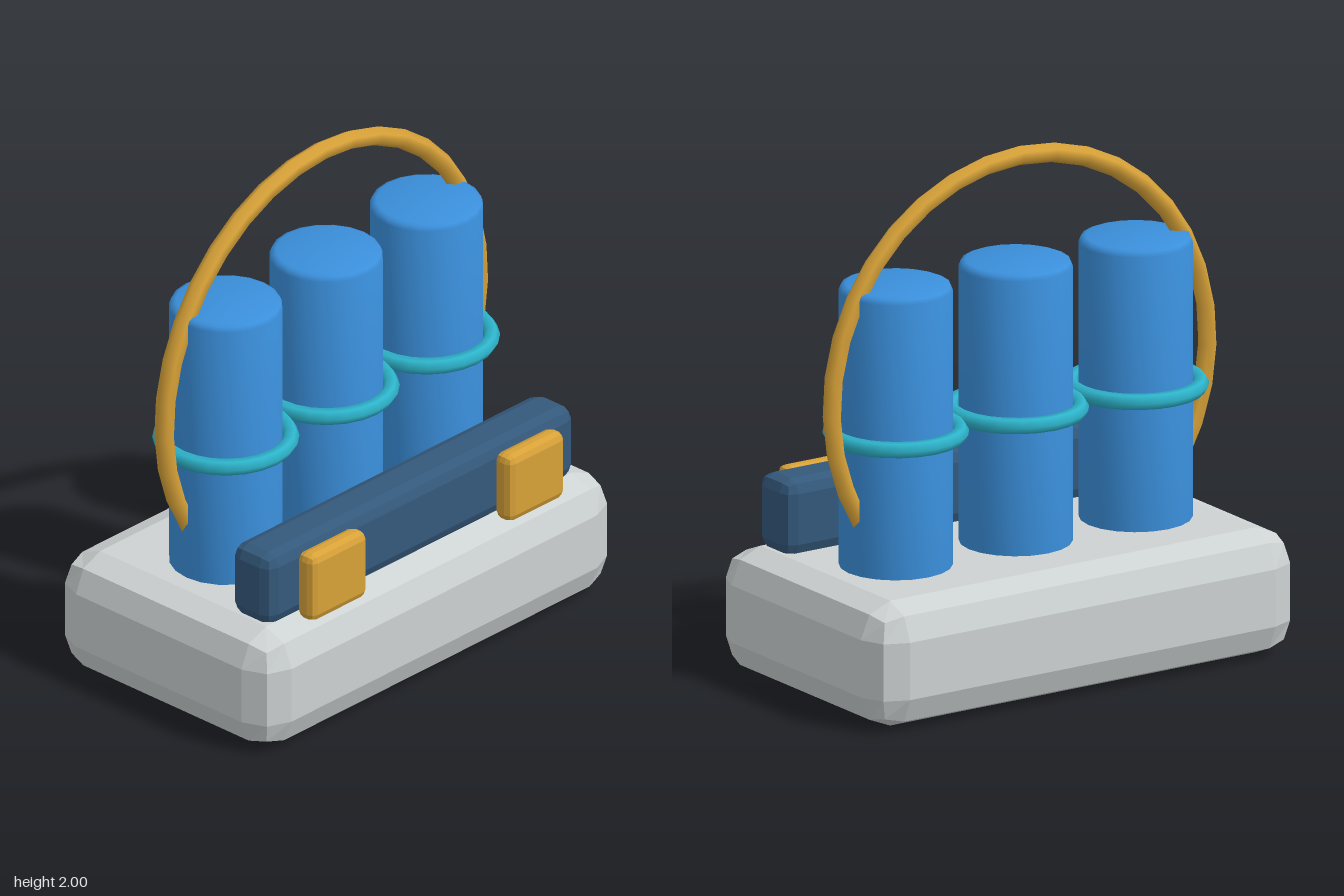
import * as THREE from 'three';
import { toCreasedNormals } from 'three/addons/utils/BufferGeometryUtils.js';
import { RoundedBoxGeometry } from 'three/addons/geometries/RoundedBoxGeometry.js';

function material(name, color) {
  const m = new THREE.MeshStandardMaterial({ color });
  m.name = name;
  return m;
}

export function createModel() {
  const model = new THREE.Group();
  model.name = 'canisterRack';

  const grey = material('light grey', 0xcdd2d2);
  const blue = material('bright blue', 0x3a8fdb);
  const teal = material('teal', 0x2db4cb);
  const gold = material('gold', 0xd8a238);
  const navy = material('navy', 0x34597c);

  function add(name, geometry, mat, x, y, z, parent = model) {
    const mesh = new THREE.Mesh(geometry, mat);
    mesh.name = name;
    mesh.position.set(x, y, z);
    parent.add(mesh);
    return mesh;
  }

  // Box with two flat facets around each edge
  function bevelBox(w, h, d, r) {
    const g = new RoundedBoxGeometry(w, h, d, 1, r);
    const flat = g.index ? g.toNonIndexed() : g;
    flat.computeVertexNormals();
    return flat;
  }

  // Base block
  add('base', bevelBox(1.89, 0.48, 1.1, 0.13), grey, 0, 0.24, 0);

  // Three canisters, each with a ring around it
  const profile = [[0, 0.47], [0.21, 0.47], [0.21, 1.535], [0.203, 1.553], [0.185, 1.56], [0, 1.56]]
    .map(([x, y]) => new THREE.Vector2(x, y));
  const canister = toCreasedNormals(new THREE.LatheGeometry(profile, 20), 0.9);
  const ring = new THREE.TorusGeometry(0.24, 0.031, 6, 24).rotateX(Math.PI / 2);
  for (const x of [-0.535, 0, 0.535]) {
    add('canister', canister, blue, x, 0, -0.05);
    add('canisterRing', ring, teal, x, 0.99, -0.05);
  }

  // Carrying arch, a circle left open at the bottom, with closed ends
  const R = 0.838, r = 0.037, dip = 0.567;
  const handle = new THREE.Group();
  handle.name = 'handle';
  handle.position.set(0, 1.125, -0.075);
  model.add(handle);
  const arch = new THREE.TorusGeometry(R, r, 6, 24, Math.PI + 2 * dip).rotateZ(-dip);
  add('handleArch', arch, gold, 0, 0, 0, handle);
  for (const side of [1, -1]) {
    const cap = new THREE.CircleGeometry(r, 6).rotateX(Math.PI / 2);
    cap.rotateZ(-dip);
    if (side < 0) cap.rotateY(Math.PI);
    add('handleEnd', cap, gold, side * R * Math.cos(dip), -R * Math.sin(dip), 0, handle);
  }

  // Front bar with two pads
  add('frontBar', bevelBox(1.64, 0.295, 0.2, 0.05), navy, 0, 0.617, 0.34);
  const pad = bevelBox(0.3, 0.275, 0.085, 0.03);
  for (const x of [-0.527, 0.527]) add('frontPad', pad, gold, x, 0.608, 0.482);

  return model;
}
